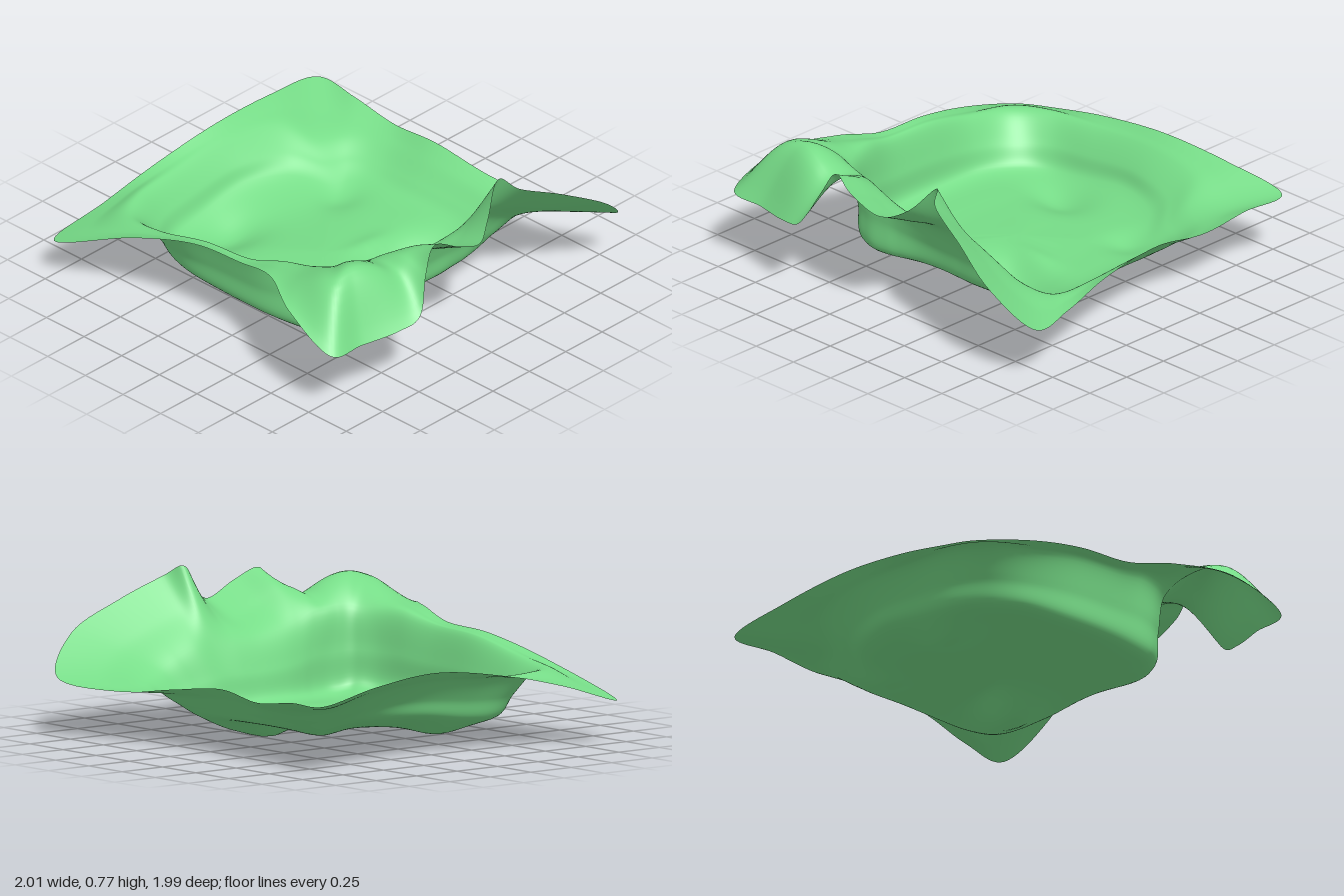
import * as THREE from 'three';

// Closed loops of the cloth, matched spoke by spoke (front, right, back, left)
const EDGE = [
  -1, .38, .89, -.8, .36, .91, -.6, .37, .96, -.47, .41, .98, -.38, .58, .93,
  -.3, .7, .91, -.17, .65, .94, 0, .58, .92, .13, .63, .85, .26, .77, .79,
  .33, .72, .87, .55, .62, .93, .8, .48, .98, .99, .29, .86, .89, .25, .53,
  .82, .29, .2, .81, .33, -.15, .83, .3, -.45, .84, .33, -.72, .84, .34, -.97,
  .5, .4, -.95, .1, .43, -.92, -.3, .38, -.93, -.65, .3, -.95, -.96, .21, -.98,
  -.87, .37, -.55, -.81, .46, -.2, -.8, .48, .1, -.85, .53, .35, -.98, .5, .6,
];
const LIP = [
  -.6, .53, .51, -.56, .54, .55, -.5, .54, .57, -.43, .53, .58, -.36, .52, .59,
  -.27, .48, .59, -.16, .45, .59, -.02, .43, .59, .12, .43, .59, .25, .43, .59,
  .36, .41, .58, .48, .37, .58, .6, .32, .57, .72, .28, .52, .74, .25, .4,
  .73, .25, .18, .72, .26, -.12, .73, .25, -.4, .67, .25, -.57, .53, .26, -.66,
  .4, .34, -.8, .08, .37, -.84, -.28, .36, -.84, -.55, .36, -.81, -.72, .36, -.7,
  -.75, .39, -.46, -.74, .45, -.18, -.73, .47, .1, -.69, .52, .29, -.65, .53, .42,
];
const FOOT = [
  -.56, .16, .46, -.52, .15, .5, -.46, .14, .52, -.4, .14, .53, -.32, .14, .52,
  -.24, .14, .5, -.14, .14, .48, -.02, .14, .47, .1, .14, .47, .19, .14, .47,
  .28, .14, .46, .37, .14, .45, .47, .14, .42, .54, .14, .36, .57, .14, .25,
  .58, .14, .1, .57, .14, -.12, .56, .14, -.32, .51, .14, -.43, .41, .14, -.48,
  .28, .18, -.63, .05, .19, -.71, -.22, .16, -.71, -.43, .14, -.68, -.56, .14, -.58,
  -.64, .15, -.4, -.66, .15, -.15, -.66, .15, .1, -.64, .15, .27, -.61, .15, .38,
];

// Dents and ridges pressed into the floor: x, z, radius x, radius z, height
const BUMPS = [
  [.2, .22, .19, .15, -.11],
  [.42, .28, .14, .14, -.04],
  [.18, .04, .14, .07, .03],
  [-.22, -.53, .18, .12, -.06],
  [.38, -.38, .12, .1, -.03],
  [-.42, .28, .18, .18, -.02],
];

function loop(numbers) {
  const points = [];
  for (let i = 0; i < numbers.length; i += 3) points.push(new THREE.Vector3().fromArray(numbers, i));
  return new THREE.CatmullRomCurve3(points, true, 'catmullrom', 0.5);
}

function press(p) {
  for (const [x, z, rx, rz, h] of BUMPS) {
    p.y += h * Math.exp(-(((p.x - x) / rx) ** 2) - ((p.z - z) / rz) ** 2);
  }
  p.y = Math.max(p.y, 0);
  return p;
}

// From hem over the lip, down the wall and across the floor
function spokeCurve(hem, lip, foot, center) {
  // The front left corner billows up into a flap
  const crest = hem.clone().lerp(lip, 0.5);
  crest.y += .22 * Math.exp(-(((crest.x + .7) / .3) ** 2) - ((crest.z - .75) / .22) ** 2);
  // The wall is steep at the left and eases to a slope at the right
  const wall = foot.clone().lerp(lip, 0.35 + 0.15 * THREE.MathUtils.smoothstep(foot.x, .1, .5));
  wall.y = THREE.MathUtils.lerp(foot.y, lip.y, 0.45);
  const floor = foot.clone().lerp(center, 0.35);
  floor.y = .12;
  return new THREE.CatmullRomCurve3([hem, crest, lip, wall, foot, floor, center]);
}

function clothGeometry(around = 300, rings = 54) {
  const edge = loop(EDGE), lip = loop(LIP), foot = loop(FOOT);
  const center = new THREE.Vector3(-.04, .13, -.08);
  const position = [], index = [];
  const id = (i, j) => (j === rings ? around * rings : (i % around) * rings + j);

  for (let i = 0; i < around; i++) {
    const t = i / around;
    const spoke = spokeCurve(edge.getPoint(t), lip.getPoint(t), foot.getPoint(t), center);
    for (let j = 0; j < rings; j++) {
      const p = press(spoke.getPoint(j / rings));
      position.push(p.x, p.y, p.z);
      index.push(id(i, j), id(i + 1, j), id(i, j + 1));
      if (j < rings - 1) index.push(id(i + 1, j), id(i + 1, j + 1), id(i, j + 1));
    }
  }
  const middle = press(center.clone());
  position.push(middle.x, middle.y, middle.z);

  const geometry = new THREE.BufferGeometry();
  geometry.setAttribute('position', new THREE.Float32BufferAttribute(position, 3));
  geometry.setIndex(index);
  geometry.computeVertexNormals();
  return geometry;
}

export function createModel() {
  const group = new THREE.Group();
  group.name = 'drapedCloth';
  const material = new THREE.MeshStandardMaterial({ color: 0x77dd88, side: THREE.DoubleSide });
  const cloth = new THREE.Mesh(clothGeometry(), material);
  cloth.name = 'cloth';
  group.add(cloth);
  return group;
}
